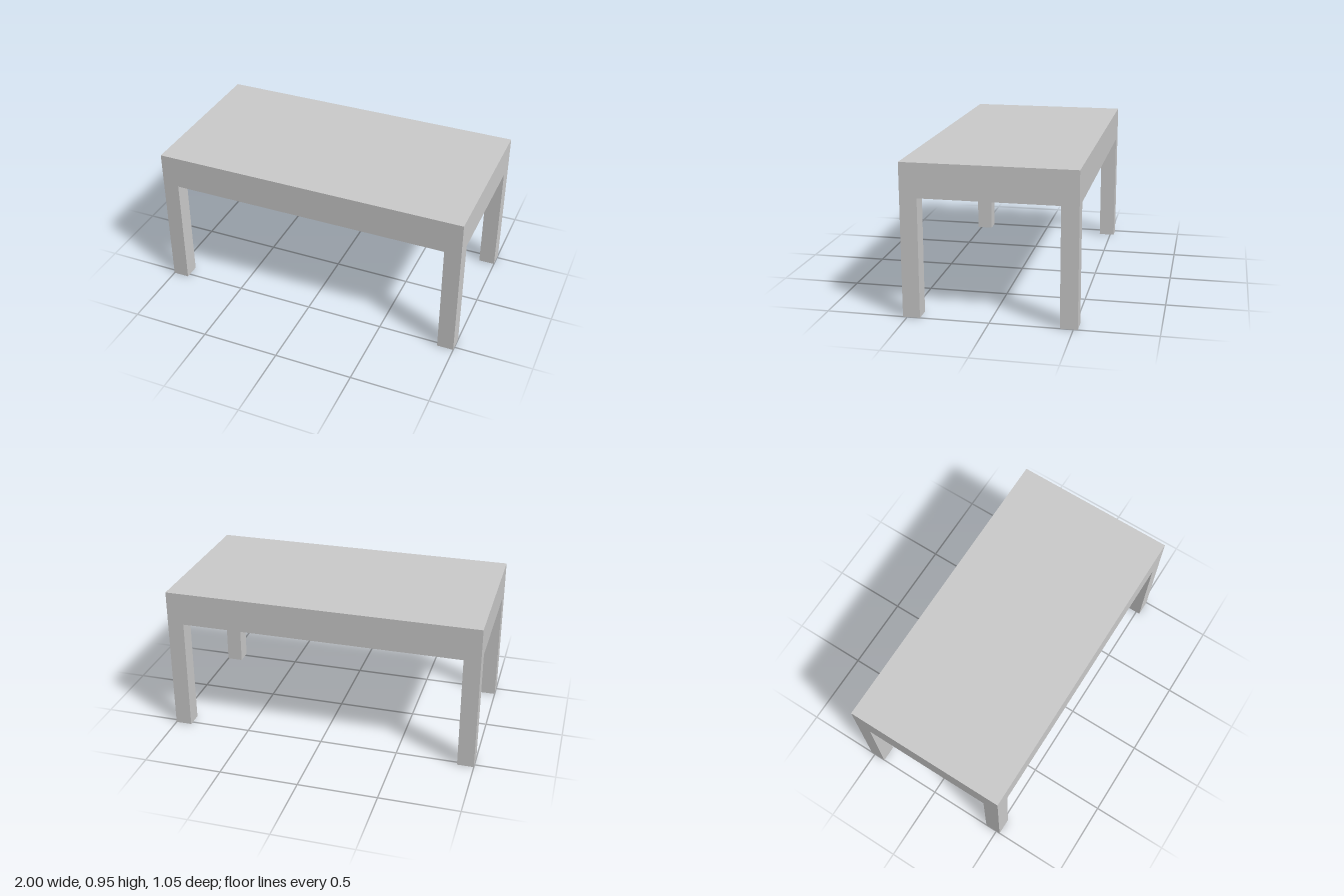
import * as THREE from 'three';

// All dimensions are multiples of the leg thickness.
const U = 2 / 19;
const LENGTH = 19 * U, DEPTH = 10 * U, HEIGHT = 9 * U;
const APRON_BOTTOM = 7 * U, TOP_BOTTOM = 8 * U;

export function createModel() {
  const table = new THREE.Group();
  table.name = 'table';
  const material = new THREE.MeshStandardMaterial({ color: 0xcccccc, flatShading: true });

  const addBox = (name, w, h, d, x, bottom, z) => {
    const mesh = new THREE.Mesh(new THREE.BoxGeometry(w, h, d), material);
    mesh.name = name;
    mesh.position.set(x, bottom + h / 2, z);
    table.add(mesh);
  };

  // Solid slab on top
  addBox('tabletop', LENGTH, HEIGHT - TOP_BOTTOM, DEPTH, 0, TOP_BOTTOM, 0);

  // Apron rails under the slab, leaving the underside recessed
  const railHeight = TOP_BOTTOM - APRON_BOTTOM;
  for (const [side, s] of [['front', 1], ['back', -1]]) {
    addBox(side + 'Apron', LENGTH, railHeight, U, 0, APRON_BOTTOM, s * (DEPTH - U) / 2);
  }
  for (const [side, s] of [['left', 1], ['right', -1]]) {
    addBox(side + 'Apron', U, railHeight, DEPTH - 2 * U, s * (LENGTH - U) / 2, APRON_BOTTOM, 0);
  }

  // Square legs flush with the corners
  for (const [end, sz] of [['front', 1], ['back', -1]]) {
    for (const [side, sx] of [['Left', 1], ['Right', -1]]) {
      addBox(end + side + 'Leg', U, APRON_BOTTOM, U, sx * (LENGTH - U) / 2, 0, sz * (DEPTH - U) / 2);
    }
  }
  return table;
}
